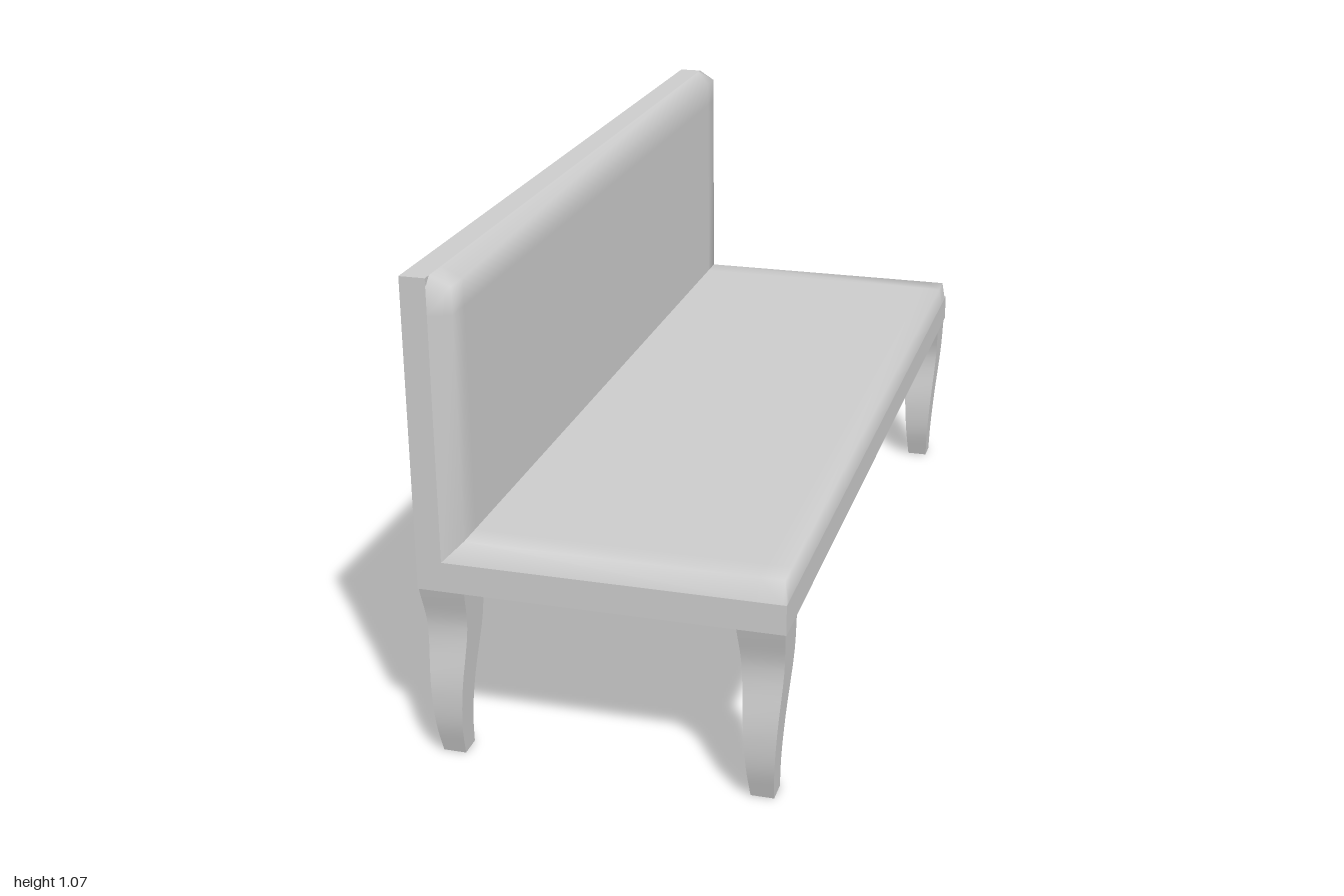
import * as THREE from 'three';

const HALF = 0.98; // half length of the bench
const material = new THREE.MeshStandardMaterial({ color: 0xcccccc });

function add(parent, name, geometry) {
  const mesh = new THREE.Mesh(geometry, material);
  mesh.name = name;
  parent.add(mesh);
  return mesh;
}

// Cushion surface: inner is its raised profile, outer the same points at the end seams.
function cushion(inner, outer) {
  const rows = [-HALF, -0.96, -0.9, 0.9, 0.96, HALF];
  const n = inner.length, positions = [], index = [];
  rows.forEach((z, i) => {
    const profile = i === 0 || i === rows.length - 1 ? outer : inner;
    profile.forEach(([x, y]) => positions.push(x, y, z));
  });
  for (let i = 0; i < rows.length - 1; i++) {
    for (let j = 0; j < n - 1; j++) {
      const a = i * n + j, b = a + 1, c = a + n, d = c + 1;
      index.push(a, b, c, b, d, c);
    }
  }
  const geometry = new THREE.BufferGeometry();
  geometry.setAttribute('position', new THREE.Float32BufferAttribute(positions, 3));
  geometry.setIndex(index);
  geometry.computeVertexNormals();
  return geometry;
}

// Square tapered leg whose centre line follows an S curve along the bench
function legGeometry() {
  const height = 0.392;
  const path = new THREE.CatmullRomCurve3([
    [0, 0.001], [0.08, 0.018], [0.17, 0.014], [0.3, -0.015], [height, 0],
  ].map(([y, z]) => new THREE.Vector3(0, y, z)));
  const geometry = new THREE.BoxGeometry(1, 1, 1, 1, 16, 1);
  const p = geometry.attributes.position;
  for (let i = 0; i < p.count; i++) {
    const c = path.getPoint(p.getY(i) + 0.5);
    const width = 0.05 + 0.05 * c.y / height;
    p.setXYZ(i, p.getX(i) * width, c.y, c.z + p.getZ(i) * width);
  }
  geometry.computeVertexNormals();
  return geometry;
}

export function createModel() {
  const bench = new THREE.Group();
  bench.name = 'bench';

  // L-shaped frame of seat and back
  const outline = new THREE.Shape([
    [-0.39, 0.392], [0.39, 0.392], [0.39, 0.458],
    [-0.335, 0.458], [-0.335, 1.068], [-0.39, 1.068],
  ].map(([x, y]) => new THREE.Vector2(x, y)));
  const frame = new THREE.ExtrudeGeometry(outline, { depth: 2 * HALF, bevelEnabled: false });
  frame.translate(0, 0, -HALF);
  add(bench, 'frame', frame);

  // Soft-edged cushions, mitred where they meet
  add(bench, 'seatCushion', cushion(
    [[0.39, 0.458], [0.382, 0.503], [0.33, 0.503], [-0.29, 0.503]],
    [[0.39, 0.458], [0.382, 0.458], [0.33, 0.458], [-0.335, 0.458]],
  ));
  add(bench, 'backCushion', cushion(
    [[-0.29, 0.503], [-0.29, 0.99], [-0.29, 1.048], [-0.335, 1.068]],
    [[-0.335, 0.458], [-0.335, 0.99], [-0.335, 1.048], [-0.335, 1.068]],
  ));

  // Four legs, all curving the same way
  const leg = legGeometry();
  for (const [side, x] of [['front', 0.338], ['back', -0.338]]) {
    for (const [end, z] of [['Near', 0.93], ['Far', -0.92]]) {
      add(bench, side + 'Leg' + end, leg).position.set(x, 0, z);
    }
  }

  // The whole bench stands slightly turned
  bench.rotation.y = -0.0485;
  const model = new THREE.Group();
  model.add(bench);
  return model;
}
